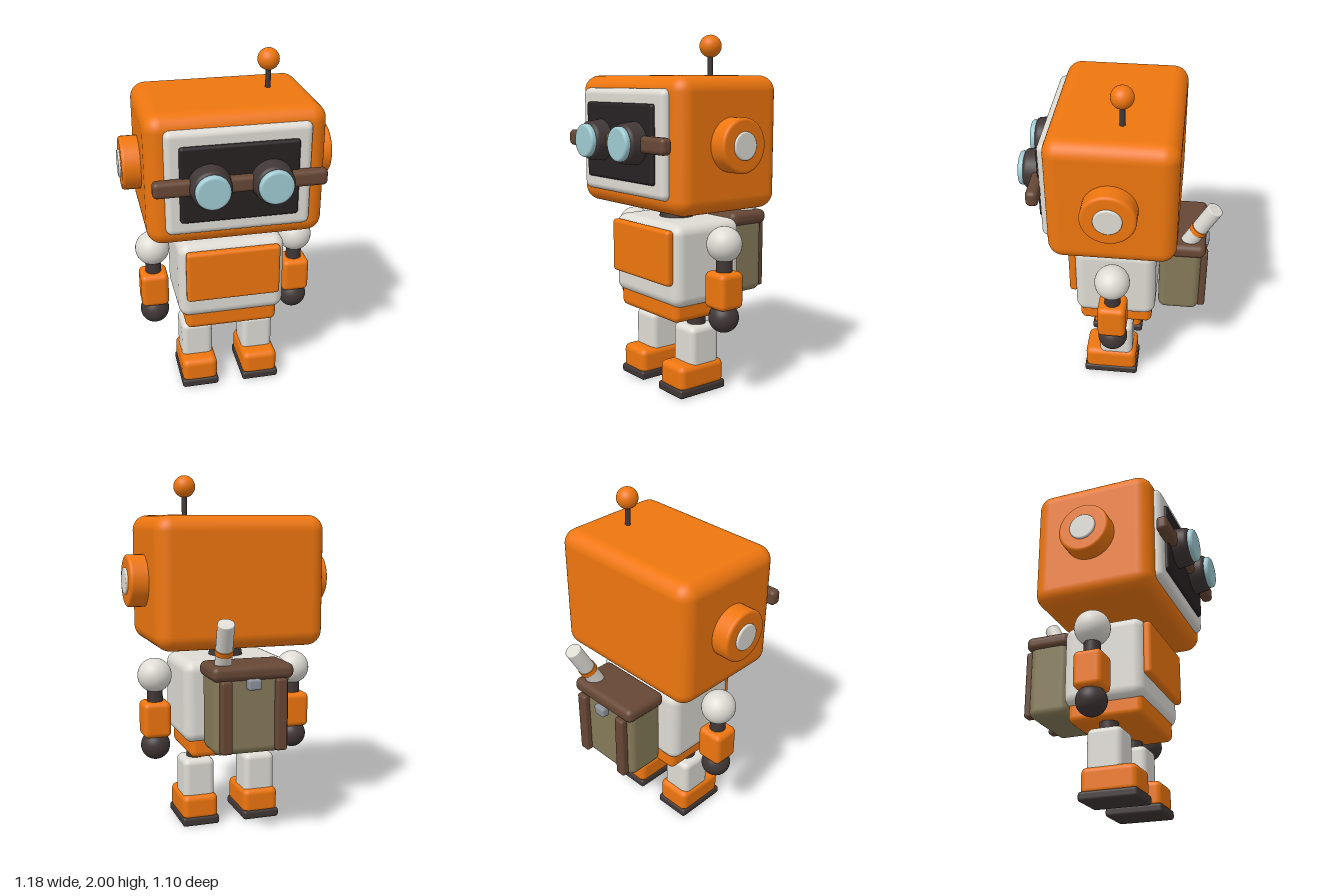
import * as THREE from 'three';
import { RoundedBoxGeometry } from 'three/addons/geometries/RoundedBoxGeometry.js';

const mat = (color) => new THREE.MeshStandardMaterial({ color });
const orange = mat(0xee760f), white = mat(0xdedbd4), dark = mat(0x403736), black = mat(0x272122);
const brown = mat(0x664735), olive = mat(0x857a59), glass = mat(0x9fcad2), steel = mat(0x8d939c);

function add(parent, name, geometry, material, x = 0, y = 0, z = 0) {
  const mesh = new THREE.Mesh(geometry, material);
  mesh.name = name;
  mesh.position.set(x, y, z);
  parent.add(mesh);
  return mesh;
}

// Rounded box given by its ranges along x, y and z
function box(parent, name, material, [x0, x1], [y0, y1], [z0, z1], radius) {
  const geo = new RoundedBoxGeometry(x1 - x0, y1 - y0, z1 - z0, 5, radius);
  return add(parent, name, geo, material, (x0 + x1) / 2, (y0 + y1) / 2, (z0 + z1) / 2);
}

// Round plug from y = 0 to y = height with a filleted top rim
function plug(r0, r1, height, fillet) {
  const pts = [[0, 0], [r0 - 0.002, 0], [r0, 0.001], [r0, 0.003], [r1, height - fillet - 0.002]];
  for (let i = 0; i <= 6; i++) {
    const a = (i / 6) * Math.PI / 2;
    pts.push([r1 - fillet + fillet * Math.cos(a), height - fillet + fillet * Math.sin(a)]);
  }
  pts.push([r1 - fillet - 0.003, height], [0, height]);
  return new THREE.LatheGeometry(pts.map(([x, y]) => new THREE.Vector2(x, y)), 40);
}

const ball = (r) => new THREE.SphereGeometry(r, 32, 24);
const rod = (r0, r1, h) => new THREE.CylinderGeometry(r1, r0, h, 32);

function buildHead() {
  const head = new THREE.Group();
  head.name = 'head';
  box(head, 'headShell', orange, [-0.48, 0.48], [1.06, 1.785], [-0.315, 0.375], 0.085);
  box(head, 'faceFrame', white, [-0.387, 0.387], [1.143, 1.717], [0.33, 0.411], 0.035);
  box(head, 'faceScreen', black, [-0.315, 0.315], [1.22, 1.64], [0.38, 0.432], 0.018);
  box(head, 'gogglesBar', brown, [-0.458, 0.458], [1.388, 1.477], [0.404, 0.47], 0.025);

  for (const s of [-1, 1]) {
    // Eyes
    const barrel = add(head, 'eyeBarrel', plug(0.116, 0.107, 0.108, 0.025), dark, s * 0.163, 1.433, 0.415);
    const lens = add(head, 'eyeLens', plug(0.092, 0.092, 0.05, 0.015), glass, s * 0.163, 1.433, 0.5);
    barrel.rotation.x = lens.rotation.x = Math.PI / 2;
    // Ears
    const ear = add(head, 'ear', plug(0.146, 0.146, 0.12, 0.016), orange, s * 0.46, 1.425, 0.03);
    const cap = add(head, 'earCap', plug(0.075, 0.075, 0.03, 0.008), white, s * 0.562, 1.425, 0.03);
    ear.rotation.z = cap.rotation.z = -s * Math.PI / 2;
  }

  // Antenna
  add(head, 'antennaRod', rod(0.015, 0.015, 0.16), dark, 0.25, 1.84, -0.01);
  add(head, 'antennaBall', ball(0.06), orange, 0.25, 1.94, -0.01);
  return head;
}

function buildBody() {
  const body = new THREE.Group();
  body.name = 'body';
  add(body, 'neck', rod(0.104, 0.08, 0.13), dark, 0, 1.025, 0.03);
  box(body, 'torso', white, [-0.305, 0.305], [0.522, 0.987], [-0.2, 0.262], 0.06);
  box(body, 'chestPlate', orange, [-0.268, 0.268], [0.653, 0.96], [0.25, 0.3], 0.02);
  box(body, 'pelvis', orange, [-0.268, 0.268], [0.433, 0.565], [-0.18, 0.242], 0.035);
  return body;
}

function buildArm(s) {
  const arm = new THREE.Group();
  arm.name = s > 0 ? 'leftArm' : 'rightArm';
  const x = s * 0.424;
  add(arm, 'shoulder', ball(0.098), white, x, 0.885, 0.03);
  add(arm, 'upperArm', rod(0.045, 0.045, 0.14), dark, x, 0.765, 0.03);
  box(arm, 'forearm', orange, [x - 0.08, x + 0.08], [0.53, 0.735], [-0.05, 0.11], 0.03);
  add(arm, 'hand', ball(0.084), dark, x, 0.476, 0.03);
  return arm;
}

function buildLeg(s) {
  const leg = new THREE.Group();
  leg.name = s > 0 ? 'leftLeg' : 'rightLeg';
  const x = s * 0.185;
  add(leg, 'thigh', rod(0.052, 0.052, 0.12), dark, x, 0.405, 0.03);
  box(leg, 'shin', white, [x - 0.092, x + 0.092], [0.14, 0.39], [-0.067, 0.132], 0.035);
  box(leg, 'boot', orange, [x - 0.105, x + 0.105], [0.03, 0.18], [-0.092, 0.217], 0.035);
  box(leg, 'sole', dark, [x - 0.11, x + 0.11], [0, 0.052], [-0.1, 0.225], 0.016);
  return leg;
}

function buildBackpack() {
  const pack = new THREE.Group();
  pack.name = 'backpack';
  box(pack, 'packBody', olive, [-0.215, 0.215], [0.513, 0.96], [-0.452, -0.213], 0.045);
  box(pack, 'packLid', brown, [-0.232, 0.23], [0.918, 1.002], [-0.472, -0.205], 0.035);
  box(pack, 'packBuckle', steel, [-0.038, 0.038], [0.872, 0.93], [-0.492, -0.44], 0.012);
  for (const s of [-1, 1]) {
    box(pack, 'packStrap', brown, [s * 0.155 - 0.032, s * 0.155 + 0.032], [0.53, 0.925], [-0.488, -0.44], 0.014);
  }

  // Rolled scroll leaning out of the lid
  const scroll = new THREE.Group();
  scroll.name = 'scroll';
  const foot = new THREE.Vector3(0.142, 0.96, -0.362);
  const tip = new THREE.Vector3(0.169, 1.237, -0.508);
  const axis = tip.clone().sub(foot);
  const length = axis.length();
  scroll.position.copy(foot);
  scroll.quaternion.setFromUnitVectors(new THREE.Vector3(0, 1, 0), axis.normalize());
  add(scroll, 'scrollRoll', plug(0.046, 0.046, length, 0.006), white);
  add(scroll, 'scrollBand', rod(0.051, 0.051, 0.03), orange, 0, 0.138, 0);
  pack.add(scroll);
  return pack;
}

export function createModel() {
  const robot = new THREE.Group();
  robot.name = 'robot';
  robot.add(buildHead(), buildBody(), buildBackpack());
  for (const s of [-1, 1]) robot.add(buildArm(s), buildLeg(s));
  return robot;
}
